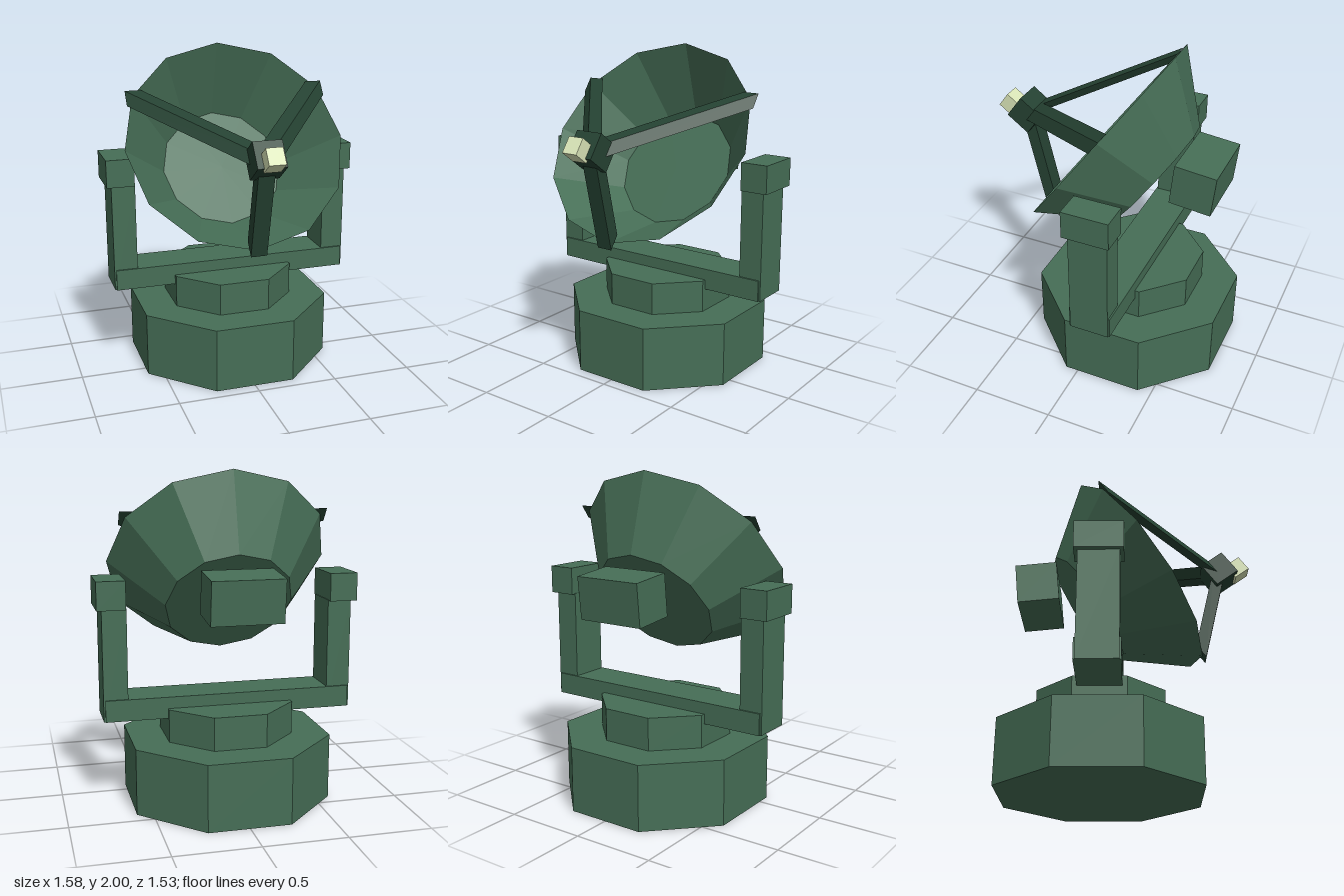
import * as THREE from 'three';

export function createModel() {
  const model = new THREE.Group();
  model.name = 'dishAntenna';

  const mat = (name, color, side = THREE.FrontSide) => {
    const m = new THREE.MeshStandardMaterial({ color, flatShading: true, side });
    m.name = name;
    return m;
  };
  const green = mat('green', 0x466e56, THREE.DoubleSide);
  const darkGreen = mat('darkGreen', 0x254232);
  const paleYellow = mat('paleYellow', 0xdae6b8);

  const add = (parent, name, geometry, material, x = 0, y = 0, z = 0) => {
    const mesh = new THREE.Mesh(geometry, material);
    mesh.name = name;
    mesh.position.set(x, y, z);
    parent.add(mesh);
    return mesh;
  };
  const box = (w, h, d) => new THREE.BoxGeometry(w, h, d);
  // Octagonal block measured across its flat sides
  const octagon = (apothem, height) => {
    const r = apothem / Math.cos(Math.PI / 8);
    return new THREE.CylinderGeometry(r, r, height, 8).rotateY(Math.PI / 8);
  };

  // Base and turntable
  const cz = -0.167;
  add(model, 'base', octagon(0.595, 0.4), green, 0, 0.2, cz);
  add(model, 'turntable', octagon(0.38, 0.205), green, 0, 0.4975, cz);

  // Yoke: crossbeam, two arms and their caps
  add(model, 'crossbeam', box(1.5, 0.13, 0.26), green, 0, 0.605, cz);
  for (const [side, s] of [['left', 1], ['right', -1]]) {
    add(model, side + 'Arm', box(0.145, 0.67, 0.24), green, s * 0.6875, 0.875, cz);
    add(model, side + 'ArmCap', box(0.17, 0.17, 0.285), green, s * 0.705, 1.29, cz);
  }

  // Counterweight behind the dish
  add(model, 'counterweight', box(0.425, 0.256, 0.256), green, 0, 1.3, -0.57).rotation.x = -0.1;

  // Tilted dish assembly: local z points out of the dish, origin at the rim centre
  const dish = new THREE.Group();
  dish.name = 'dishAssembly';
  dish.position.set(0, 1.445, 0.047);
  dish.rotation.x = -0.632;
  model.add(dish);

  const depth = 0.386, floorRadius = 0.385, rimRadius = 0.687;
  add(dish, 'dishWall',
    new THREE.CylinderGeometry(rimRadius, floorRadius, depth, 12, 1, true).rotateX(Math.PI / 2),
    green, 0, 0, -depth / 2);
  add(dish, 'dishFloor', new THREE.CircleGeometry(floorRadius, 12), green, 0, 0, -depth);

  // Feed hub and its pale tip
  const hub = new THREE.Vector3(0, -0.296, 0.438);
  add(dish, 'feedHub', box(0.175, 0.165, 0.165), darkGreen, hub.x, hub.y, hub.z);
  add(dish, 'feedTip', box(0.1, 0.104, 0.105), paleYellow, 0, hub.y - 0.047, hub.z + 0.112);

  // Three slanted struts from the rim to the hub, square in the rim plane
  ['left', 'right', 'lower'].forEach((side, i) => {
    const a = [Math.PI / 6, Math.PI * 5 / 6, -Math.PI / 2][i];
    const foot = new THREE.Vector3(Math.cos(a) * 0.672, Math.sin(a) * 0.672, 0);
    const slant = new THREE.Matrix4().makeBasis(
      new THREE.Vector3(1, 0, 0), new THREE.Vector3(0, 1, 0), hub.clone().sub(foot));
    slant.setPosition(foot.clone().add(hub).multiplyScalar(0.5));
    add(dish, side + 'Strut', box(0.1, 0.1, 1).applyMatrix4(slant), darkGreen);
  });

  return model;
}
